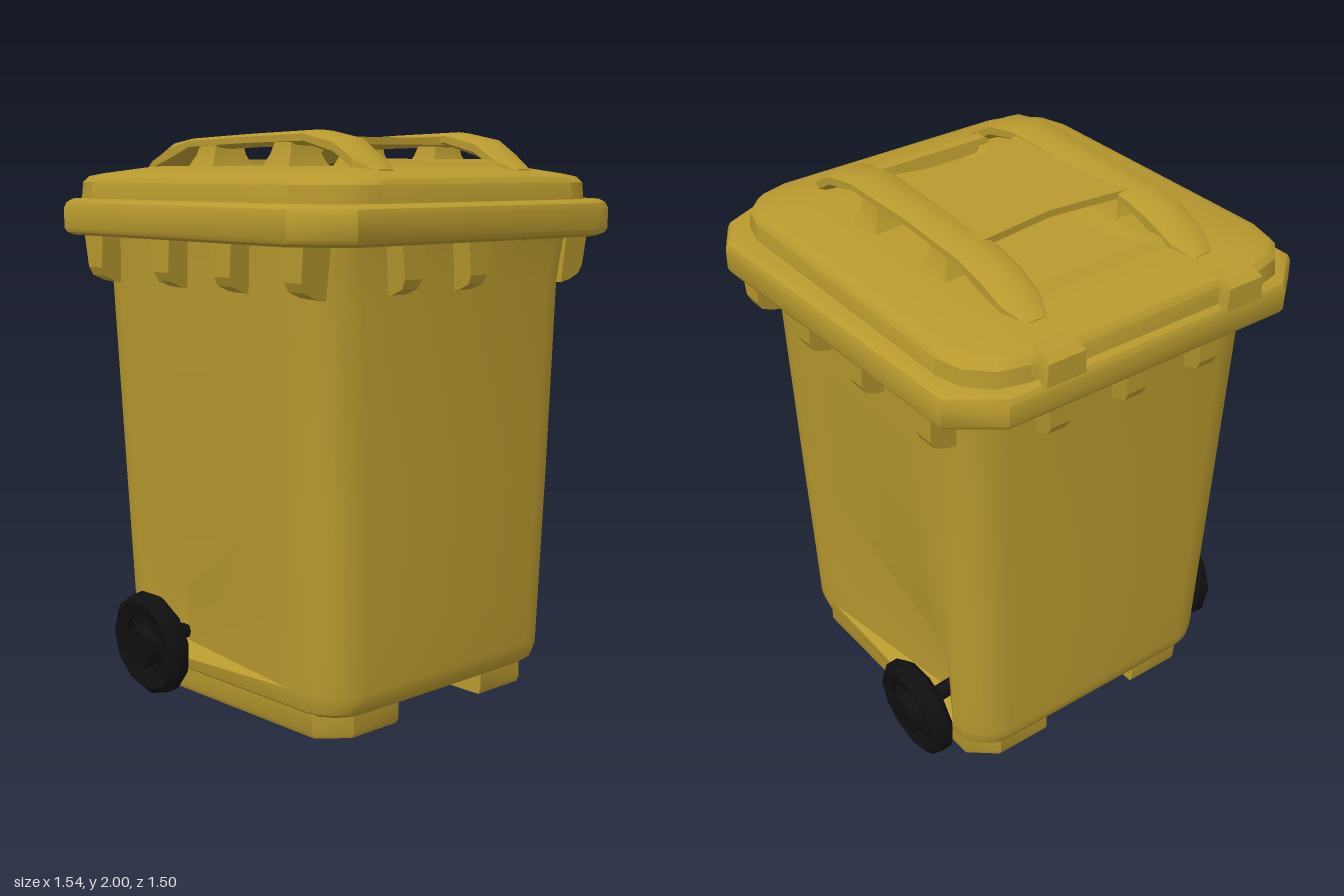
import * as THREE from 'three';
import { toCreasedNormals } from 'three/addons/utils/BufferGeometryUtils.js';

// Skins a list of equal-length rings and closes both ends.
function loft(rings, crease = 0.6) {
  const pos = [];
  const tri = (...pts) => pts.forEach((p) => pos.push(...p));
  const n = rings[0].length;
  for (let i = 0; i < rings.length - 1; i++) {
    for (let j = 0; j < n; j++) {
      const k = (j + 1) % n;
      const a = rings[i][j], b = rings[i][k], c = rings[i + 1][j], d = rings[i + 1][k];
      // diagonals are mirrored front to back
      if (a[2] < 0) { tri(a, c, d); tri(a, d, b); } else { tri(a, c, b); tri(b, c, d); }
    }
  }
  const cap = (ring, top) => {
    const m = [0, 1, 2].map((q) => ring.reduce((s, p) => s + p[q], 0) / n);
    ring.forEach((p, j) => {
      const q = ring[(j + 1) % n];
      if (top) tri(m, q, p); else tri(m, p, q);
    });
  };
  cap(rings[0], false);
  cap(rings[rings.length - 1], true);
  const g = new THREE.BufferGeometry();
  g.setAttribute('position', new THREE.Float32BufferAttribute(pos, 3));
  return toCreasedNormals(g, crease);
}

// Rounded rectangle at height y; dip pushes one column of the front and back inwards.
function ring(y, x0, x1, z, r, n = 4, dip = null) {
  const pts = [];
  const corner = (cx, cz, start) => {
    for (let i = 0; i <= n; i++) {
      const a = start + (i / n) * Math.PI / 2;
      pts.push([cx + r * Math.cos(a), y, cz + r * Math.sin(a)]);
    }
  };
  corner(x1 - r, z - r, 0);
  if (dip !== null) pts.push([0.37, y, z], [-0.27, y, z - dip]);
  corner(x0 + r, z - r, Math.PI / 2);
  corner(x0 + r, -z + r, Math.PI);
  if (dip !== null) pts.push([-0.27, y, -z + dip], [0.37, y, -z]);
  corner(x1 - r, -z + r, Math.PI * 1.5);
  return pts;
}

// Rectangle between two x and two z values.
const rect = (y, x0, x1, z0, z1) => [[x1, y, z0], [x1, y, z1], [x0, y, z1], [x0, y, z0]];

export function createModel() {
  const model = new THREE.Group();
  const yellow = new THREE.MeshStandardMaterial({ color: 0xb8992e });
  yellow.name = 'mustard plastic';
  const black = new THREE.MeshStandardMaterial({ color: 0x101010 });
  black.name = 'black rubber';
  const add = (name, geo, mat = yellow, parent = model) => {
    const mesh = new THREE.Mesh(geo, mat);
    mesh.name = name;
    parent.add(mesh);
    return mesh;
  };

  // Tapered body with wheel recesses front and back
  add('body', loft([
    ring(0.09, -0.53, 0.56, 0.52, 0.13, 4, 0),
    ring(0.105, -0.55, 0.58, 0.54, 0.14, 4, 0),
    ring(0.14, -0.565, 0.595, 0.55, 0.15, 4, 0),
    ring(0.17, -0.567, 0.597, 0.552, 0.15, 4, 0.09),
    ring(0.38, -0.574, 0.602, 0.559, 0.15, 4, 0.09),
    ring(0.8, -0.588, 0.611, 0.575, 0.15, 4, 0),
    ring(1.48, -0.61, 0.62, 0.6, 0.15, 4, 0),
    ring(1.66, -0.62, 0.635, 0.615, 0.14, 4, 0),
  ]));

  // Two feet running across the width, outer corners cut off
  for (const s of [1, -1]) {
    const foot = (y, e) => {
      const p = [[0.55 - e, 0.21], [0.55 - e, 0.42], [0.46, 0.525 - e],
        [-0.44, 0.525 - e], [-0.53 + e, 0.42], [-0.53 + e, 0.21]];
      const out = p.map(([x, z]) => [x, y, z * s]);
      return s > 0 ? out : out.reverse();
    };
    add('foot', loft([foot(0.01, 0.01), foot(0.03, 0), foot(0.12, 0)]));
  }

  // Gussets under the rim, wider at the top
  const profile = new THREE.Shape([[-0.03, 0.17], [-0.03, -0.01], [0.02, 0], [0.065, 0.02],
    [0.08, 0.05], [0.085, 0.17]].map(([x, y]) => new THREE.Vector2(x, y)));
  const gusset = new THREE.ExtrudeGeometry(profile, { depth: 0.11, bevelEnabled: false });
  gusset.translate(0, 0, -0.055);
  const gp = gusset.attributes.position;
  for (let i = 0; i < gp.count; i++) gp.setZ(i, gp.getZ(i) * (0.6 + 2.4 * gp.getY(i)));
  gusset.computeVertexNormals();
  const placeGusset = (x, z, turn) => {
    const m = add('gusset', gusset);
    m.position.set(x, 1.48, z);
    m.rotation.y = turn;
  };
  for (const x of [-0.49, -0.11, 0.21, 0.55]) {
    placeGusset(x, 0.605, -Math.PI / 2);
    placeGusset(x, -0.605, Math.PI / 2);
  }
  for (const z of [0.31, 0]) placeGusset(0.62, z, 0);
  for (const z of [0.31, 0, -0.31]) placeGusset(-0.61, z, Math.PI);

  // Wide rim with cut corners
  const outline = [[0.77, -0.54], [0.757, 0.61], [0.59, 0.745], [-0.63, 0.717], [-0.76, 0.56],
    [-0.76, -0.56], [-0.64, -0.72], [0.57, -0.755], [0.71, -0.67]];
  const rim = (y, s) => outline.map(([x, z]) => [x * s, y, z * s]);
  add('rim', loft([rim(1.64, 0.965), rim(1.65, 0.99), rim(1.665, 1), rim(1.735, 1),
    rim(1.755, 0.99), rim(1.768, 0.965)]));

  // Lid with a shallow well below the handles
  add('lid', loft([
    ring(1.75, -0.735, 0.71, 0.665, 0.2, 3),
    ring(1.825, -0.73, 0.705, 0.66, 0.2, 3),
    ring(1.845, -0.715, 0.69, 0.645, 0.2, 3),
    ring(1.855, -0.67, 0.65, 0.61, 0.18, 3),
    ring(1.88, -0.53, 0.54, 0.44, 0.1, 3),
    ring(1.883, -0.45, 0.5, 0.24, 0.05, 3),
    ring(1.845, -0.42, 0.47, 0.21, 0.04, 3),
  ]));

  // Hinge lugs on the right edge
  for (const z of [-0.36, 0.36]) {
    add('hingeLug', loft([
      rect(1.755, -0.775, -0.68, z - 0.075, z + 0.075),
      rect(1.835, -0.775, -0.68, z - 0.07, z + 0.07),
      rect(1.855, -0.75, -0.68, z - 0.06, z + 0.06),
    ]));
  }

  // Arched handles: x, top, underside, half width
  const stations = [[-0.6, 1.872, 1.85, 0.04], [-0.52, 1.912, 1.86, 0.075], [-0.41, 1.966, 1.885, 0.08],
    [-0.3, 1.98, 1.935, 0.08], [0, 1.992, 1.945, 0.072], [0.3, 2, 1.948, 0.08],
    [0.44, 1.975, 1.91, 0.08], [0.52, 1.925, 1.86, 0.075], [0.6, 1.872, 1.85, 0.04]];
  for (const s of [1, -1]) {
    add('handle', loft(stations.map(([x, t, b, w]) => {
      const pts = [];
      for (let i = 0; i < 10; i++) {
        const a = (i / 10) * Math.PI * 2;
        const c = Math.cos(a), q = Math.sin(a);
        const ry = Math.sign(c) * Math.pow(Math.abs(c), 0.7);
        const rz = Math.sign(q) * Math.pow(Math.abs(q), 0.7);
        pts.push([x, (t + b) / 2 + ry * (t - b) / 2, s * 0.335 - rz * w]);
      }
      return pts;
    }), 0.9));

    // Flared legs under the middle of each handle
    for (const x of [-0.2, 0.19]) {
      const z = s * 0.345;
      add('handleLeg', loft([
        rect(1.865, x - 0.075, x + 0.07, z - 0.1, z + 0.1),
        rect(1.92, x - 0.05, x + 0.05, z - 0.07, z + 0.07),
        rect(1.965, x - 0.035, x + 0.045, z - 0.06, z + 0.06),
      ]));
    }
  }

  // Waisted bridge joining the two handles
  const bridge = (y) => [[0.29, y, -0.3], [0.22, y, 0], [0.29, y, 0.3],
    [-0.27, y, 0.3], [-0.235, y, 0], [-0.27, y, -0.3]];
  add('handleBridge', loft([bridge(1.955), bridge(1.98)]));

  // Low ridges closing the ends of the well
  for (const [x, s] of [[-0.48, 1], [0.51, -1]]) {
    const a = x - 0.05, b = x + 0.05;
    add('wellRidge', loft([
      rect(1.86, a, b, -0.28, 0.28),
      rect(1.905, x - 0.02 + s * 0.02, x + 0.02 + s * 0.02, -0.27, 0.27),
    ]));
  }

  // Wheels, leaning with the walls
  const tyre = new THREE.LatheGeometry([[0.115, -0.03], [0.165, -0.042], [0.187, -0.022], [0.187, 0.022],
    [0.165, 0.042], [0.115, 0.03], [0.115, -0.03]].map(([x, y]) => new THREE.Vector2(x, y)), 11);
  const tyreGeo = toCreasedNormals(tyre.rotateX(Math.PI / 2), 0.7);
  for (const s of [1, -1]) {
    const side = new THREE.Group();
    side.name = s > 0 ? 'frontWheelMount' : 'backWheelMount';
    side.position.set(-0.29, 0.19, s * 0.62);
    if (s < 0) side.rotation.y = Math.PI;
    const wheel = new THREE.Group();
    wheel.name = 'wheel';
    wheel.rotation.x = 0.1;
    side.add(wheel);
    model.add(side);
    add('tyre', tyreGeo, black, wheel);
    const hub = add('hub', new THREE.CylinderGeometry(0.075, 0.09, 0.1, 8), black, wheel);
    hub.rotation.x = Math.PI / 2;
    hub.position.z = 0.015;
    for (let i = 0; i < 3; i++) {
      const spoke = add('spoke', new THREE.BoxGeometry(0.25, 0.05, 0.04), black, wheel);
      spoke.rotation.z = (i * Math.PI) / 3;
    }
    const axle = add('axle', new THREE.CylinderGeometry(0.03, 0.03, 0.2, 8), black, wheel);
    axle.rotation.x = Math.PI / 2;
    axle.position.z = -0.1;
  }
  return model;
}
